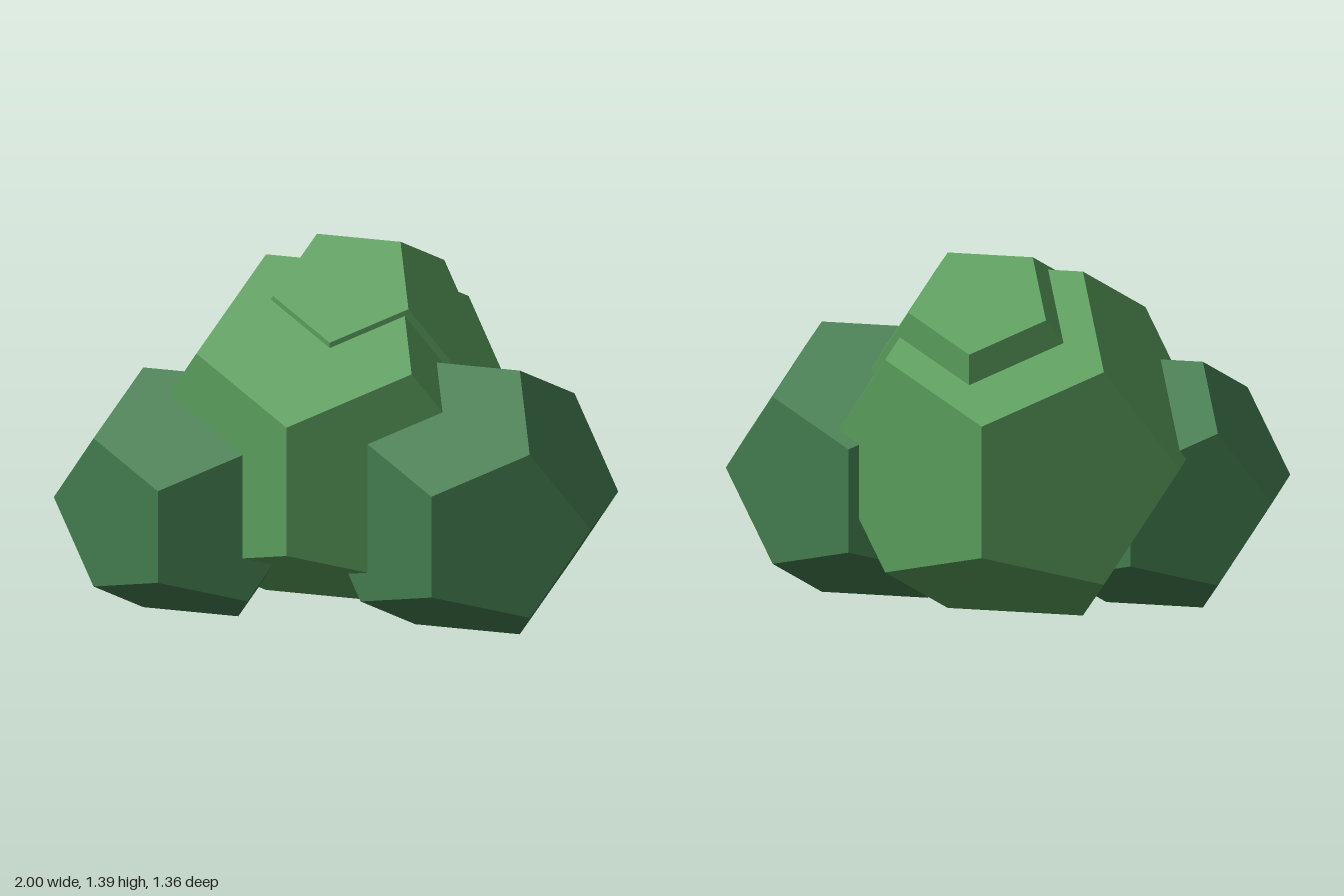
import * as THREE from 'three';

// A bush made of four overlapping faceted clumps of foliage
export function createModel() {
  const bush = new THREE.Group();
  bush.name = 'bush';

  const leafMaterial = (color) => new THREE.MeshStandardMaterial({ color, flatShading: true });
  const light = leafMaterial(0x5a9e5c);
  const dark = leafMaterial(0x437d4e);

  const addClump = (name, radius, position, material) => {
    const clump = new THREE.Mesh(new THREE.DodecahedronGeometry(radius), material);
    clump.name = name;
    clump.position.set(...position);
    bush.add(clump);
  };

  addClump('mainFoliage', 0.7, [-0.063, 0.674, -0.025], light);
  addClump('topFoliage', 0.44, [0.015, 0.985, -0.102], light);
  addClump('leftFoliage', 0.55, [0.485, 0.519, 0.13], dark);
  addClump('rightFoliage', 0.5, [-0.533, 0.469, 0.21], dark);

  return bush;
}
